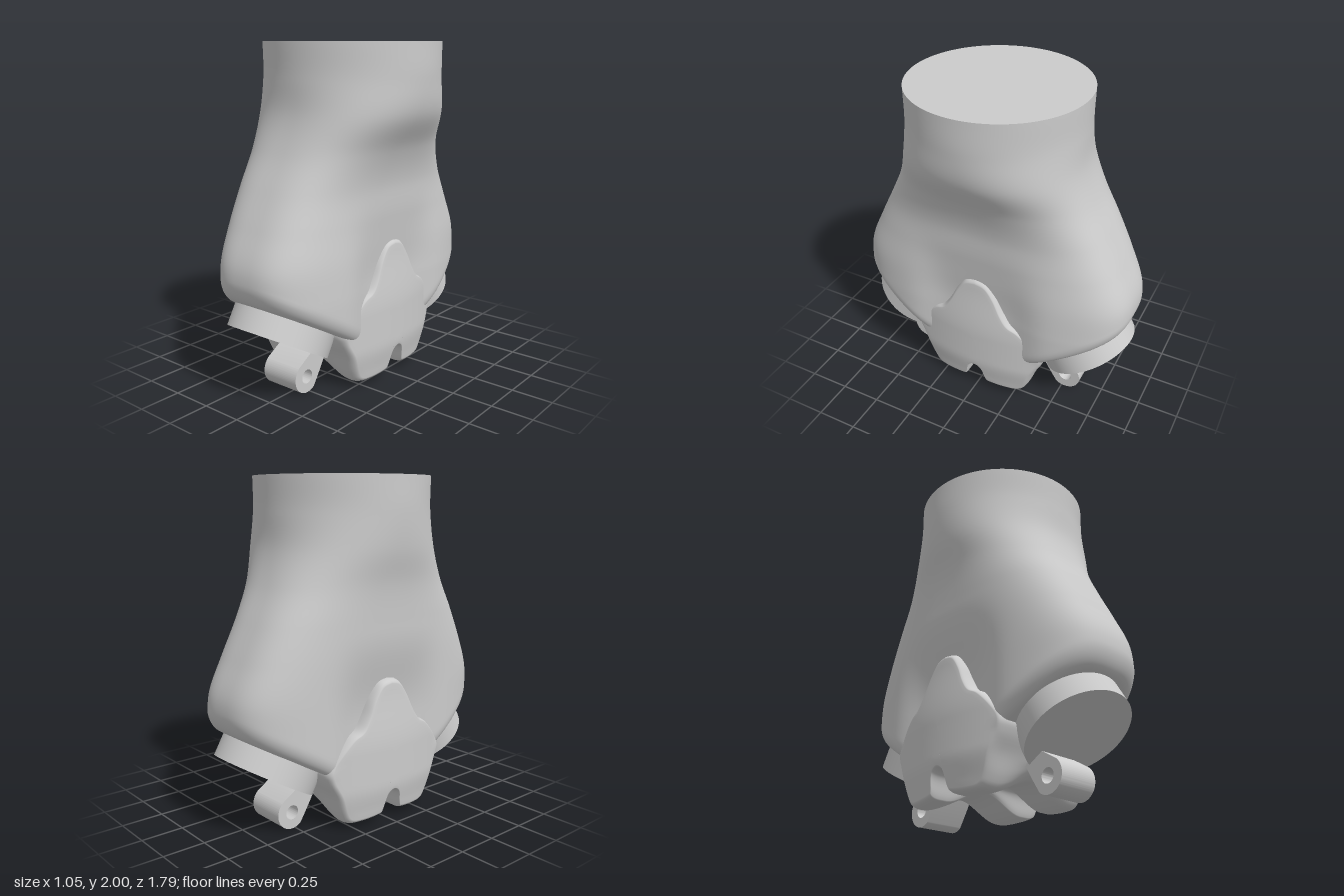
import * as THREE from 'three';
import { toCreasedNormals } from 'three/addons/utils/BufferGeometryUtils.js';

const material = new THREE.MeshStandardMaterial({ color: 0xcccccc });
const CX = -0.045; // centre line of the lower parts
const { smoothstep, clamp } = THREE.MathUtils;

function addMesh(parent, name, geometry) {
  const mesh = new THREE.Mesh(geometry, material);
  mesh.name = name;
  parent.add(mesh);
  return mesh;
}

// Smooth skin over rows of points, each row a closed loop
function skin(rows) {
  const n = rows[0].length, index = [];
  for (let r = 0; r < rows.length - 1; r++) {
    for (let i = 0; i < n; i++) {
      const p = r * n + i, q = r * n + (i + 1) % n;
      index.push(p, q, p + n, q, q + n, p + n);
    }
  }
  const g = new THREE.BufferGeometry();
  g.setAttribute('position', new THREE.Float32BufferAttribute(rows.flat(2), 3));
  g.setIndex(index);
  g.computeVertexNormals();
  return g;
}

// Body: a round neck that spreads into two lobes, cut by a V underneath
function bodyGeometry() {
  const heights = [0.6, 0.8, 1.0, 1.2, 1.4, 1.6, 1.8, 2.0];
  // half depth, right extent, left extent, roundness exponent
  const sections = [
    0.895, 0.36, 0.44, 3.1,
    0.885, 0.35, 0.44, 3.1,
    0.80, 0.335, 0.445, 3.1,
    0.70, 0.335, 0.45, 3.0,
    0.60, 0.39, 0.465, 2.7,
    0.535, 0.495, 0.505, 2.3,
    0.522, 0.522, 0.522, 2,
    0.522, 0.522, 0.522, 2,
  ];
  const interp = new THREE.CubicInterpolant(heights, sections, 4, new Float32Array(4));
  const N = 128, LIFT = 0.1;
  const power = (v, p) => Math.sign(v) * Math.abs(v) ** p;
  const underside = z => Math.max(0.24, 0.11 + 0.577 * Math.abs(z));

  function pointAt(a, y) {
    const [depth, xr, xl, n] = interp.evaluate(clamp(y, 0.6, 2));
    const z = depth * power(Math.sin(a), 2 / n);
    const waist = 0.07 * (1 - smoothstep(y, 0.6, 1.15)) * Math.exp(-((z / 0.35) ** 4));
    return [(xr - xl) / 2 + power(Math.cos(a), 2 / n) * ((xr + xl) / 2 - waist), z];
  }
  const loop = f => Array.from({ length: N }, (_, i) => f((i / N) * Math.PI * 2));

  const rows = [];
  // Wall from the top down to the slanted rim
  for (let j = 0; j <= 60; j++) {
    rows.push(loop(a => {
      const low = underside(pointAt(a, 0.6)[1]) + LIFT;
      const y = low + (2 - low) * (1 - j / 60);
      const [x, z] = pointAt(a, y);
      return [x, y, z];
    }));
  }
  // Rounded rim, then the underside closing on the middle
  const lower = (kx, kz, lift) => rows.push(loop(a => {
    const [x, z] = pointAt(a, 0.6);
    return [CX + (x - CX) * kx, underside(z * kz) + lift, z * kz];
  }));
  for (let j = 1; j <= 8; j++) {
    const f = (j / 8) * Math.PI / 2, inset = 1 - Math.cos(f);
    lower(1 - 0.14 * inset, 1 - 0.07 * inset, LIFT * (1 - Math.sin(f)));
  }
  for (let j = 7; j >= 0; j--) lower(0.86 * j / 8, 0.93 * j / 8, 0);
  return skin(rows);
}

// Centre block: peaked shields curved over both sides, four feet below
function blockGeometry() {
  const half = [
    [0, 0.86], [0.07, 0.84], [0.13, 0.76], [0.18, 0.66], [0.23, 0.59], [0.3, 0.55],
    [0.38, 0.47], [0.44, 0.38], [0.43, 0.31], [0.38, 0.21], [0.34, 0.1], [0.3, 0.042],
    [0.22, 0.033], [0.1, 0.043], [0.075, 0.06], [0.056, 0.14], [0.035, 0.175], [0, 0.19],
  ];
  const mirrored = half.slice(1, -1).reverse().map(([z, y]) => [-z, y]);
  const points = [...half, ...mirrored, half[0]].map(p => new THREE.Vector2(...p));
  const outline = new THREE.SplineCurve(points).getPoints(170).slice(0, -1);
  const MID = 0.42, ROUND = 0.06, INSET = 0.07;

  // Half width of the block where the shield has the given z and y
  const halfWidth = (z, y) => 0.42 - 0.06 * Math.min(1, (z / 0.4) ** 2)
    - 0.035 * smoothstep(y, 0.45, 0.86) - 0.03 * (1 - smoothstep(y, 0.03, 0.25));

  // One loop: outline scaled about its middle, at x = across * half width - back
  const ring = (scale, across, back) => outline.map(p => {
    const z = p.x * scale, y = MID + (p.y - MID) * scale;
    const x = across * (halfWidth(z, y) - back);
    const arch = 0.1 * (1 - smoothstep(Math.abs(x), 0, 0.28));
    return [x - 0.06, y + arch * clamp((0.2 - y) / 0.15, 0, 1), z];
  });

  // Rows of one side from the middle of the face out to the rim
  const sideRows = side => {
    const rows = [];
    for (let j = 0; j <= 12; j++) rows.push(ring((1 - INSET) * j / 12, side, 0));
    for (let j = 1; j <= 6; j++) {
      const f = (j / 6) * Math.PI / 2;
      rows.push(ring(1 - INSET * (1 - Math.sin(f)), side, ROUND * (1 - Math.cos(f))));
    }
    return rows;
  };
  const band = [];
  for (let j = 1; j < 24; j++) band.push(ring(1, j / 12 - 1, ROUND));
  return skin([...sideRows(-1), ...band, ...sideRows(1).reverse()]);
}

// Lug with a pin hole, flaring into the disc
function lugGeometry() {
  const s = new THREE.Shape();
  s.moveTo(0.36, 0.3);
  s.lineTo(0.47, 0.245);
  s.absarc(0.52, 0.1, 0.098, 0.9, -2.2, true);
  s.quadraticCurveTo(0.41, 0.1, 0.365, 0.18);
  s.closePath();
  const hole = new THREE.Path();
  hole.absarc(0.52, 0.1, 0.042, 0, Math.PI * 2, false);
  s.holes.push(hole);
  const g = new THREE.ExtrudeGeometry(s, { depth: 0.25, curveSegments: 32, bevelEnabled: false });
  g.translate(0, 0, -0.125);
  return toCreasedNormals(g.rotateY(-Math.PI / 2), 0.6);
}

export function createModel() {
  const model = new THREE.Group();
  model.name = 'forkedSocket';

  addMesh(model, 'body', bodyGeometry());
  const cap = addMesh(model, 'topCap', new THREE.CircleGeometry(0.522, 128));
  cap.rotation.x = -Math.PI / 2;
  cap.position.y = 2;
  addMesh(model, 'centreBlock', blockGeometry());

  // Tilted disc and lug on the front and back lobes
  for (const side of ['front', 'back']) {
    const end = new THREE.Group();
    end.name = side + 'End';
    end.position.x = CX;
    if (side === 'back') end.rotation.y = Math.PI;
    const disc = addMesh(end, side + 'Disc', new THREE.CylinderGeometry(0.302, 0.302, 0.24, 96));
    disc.rotation.x = -Math.PI / 6;
    disc.position.set(0, 0.32 + 0.12 * 0.866, 0.63 - 0.12 * 0.5);
    addMesh(end, side + 'Lug', lugGeometry());
    model.add(end);
  }
  return model;
}
